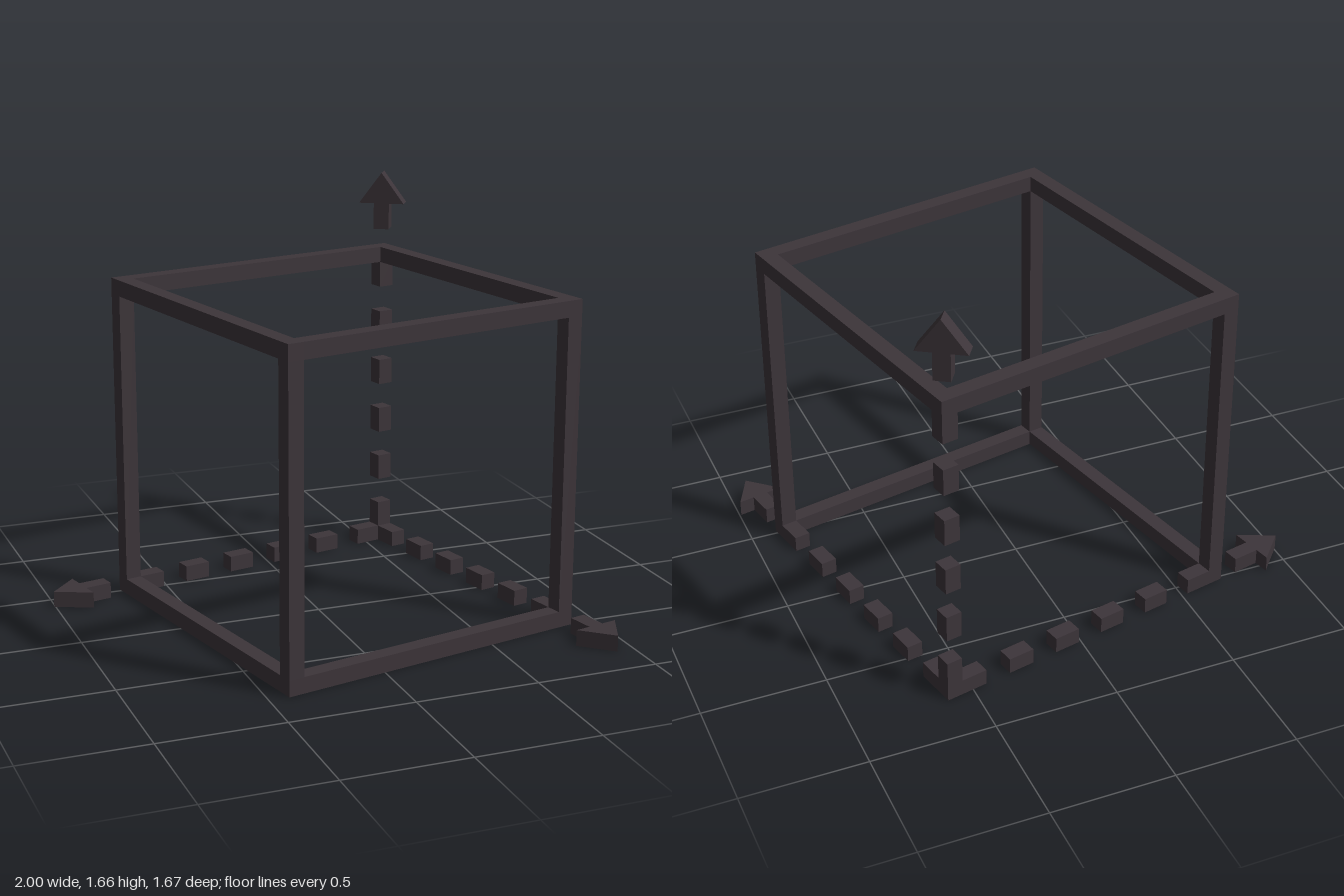
import * as THREE from 'three';

const S = 1.34;          // cube side
const T = 0.066;         // bar thickness
const C = (S - T) / 2;   // bar centre line
const INNER = S - 2 * T; // bar length between corner blocks

export function createModel() {
  const model = new THREE.Group();
  model.name = 'cubeFrameWithAxes';
  const charcoal = new THREE.MeshStandardMaterial({ color: 0x3d353a });
  charcoal.name = 'charcoal';

  // The whole frame is turned about the vertical axis
  const frame = new THREE.Group();
  frame.name = 'frame';
  frame.position.set(0.096, S / 2, 0);
  frame.rotation.y = THREE.MathUtils.degToRad(12);
  model.add(frame);

  const add = (name, geometry, position) => {
    const mesh = new THREE.Mesh(geometry, charcoal);
    mesh.name = name;
    mesh.position.set(...position);
    frame.add(mesh);
    return mesh;
  };

  // Corner blocks
  for (const x of [-C, C]) for (const y of [-C, C]) for (const z of [-C, C]) {
    add('cornerBlock', new THREE.BoxGeometry(T, T, T), [x, y, z]);
  }

  // Edges: solid bars, dashed along the three that meet at the origin corner
  const origin = [C, -C, -C];
  const step = INNER / 11;
  for (let axis = 0; axis < 3; axis++) {
    const u = (axis + 1) % 3, v = (axis + 2) % 3;
    const piece = (name, length, centre, a, b) => {
      const size = [T, T, T], pos = [0, 0, 0];
      size[axis] = length;
      pos[axis] = centre;
      pos[u] = a;
      pos[v] = b;
      add(name, new THREE.BoxGeometry(...size), pos);
    };
    for (const a of [-C, C]) for (const b of [-C, C]) {
      if (a === origin[u] && b === origin[v]) {
        for (let i = 0; i < 11; i += 2) piece('dash', step, -INNER / 2 + (i + 0.5) * step, a, b);
      } else {
        piece('bar', INNER, 0, a, b);
      }
    }
  }

  // Flat arrow pointing along +y, starting just past the cube's edge
  const h = T / 2, w = 0.0975, shaft = 0.112, tip = 0.245;
  const outline = new THREE.Shape([
    [-h, 0], [h, 0], [h, shaft], [w, shaft], [0, tip], [-w, shaft], [-h, shaft],
  ].map(([x, y]) => new THREE.Vector2(x, y)));
  const arrow = new THREE.ExtrudeGeometry(outline, { depth: T, bevelEnabled: false });
  arrow.translate(0, 0, -h);
  const start = S / 2 + 0.076;

  add('upArrow', arrow, [C, start, -C]).rotation.y = -Math.PI / 4;
  add('frontArrow', arrow, [C, -C, start]).rotation.x = Math.PI / 2;
  add('sideArrow', arrow, [-start, -C, -C]).rotation.set(Math.PI / 2, 0, Math.PI / 2);

  return model;
}
